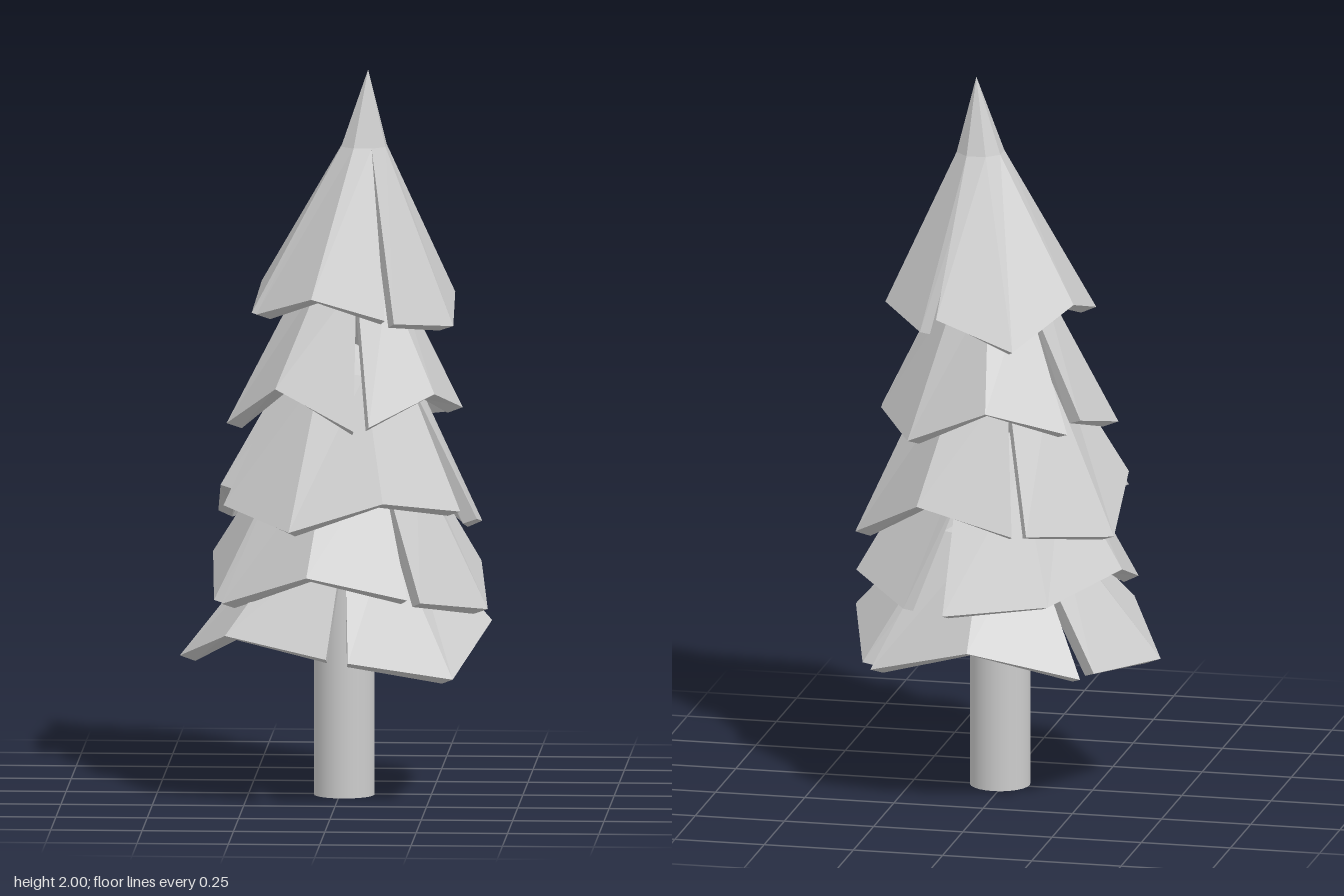
import * as THREE from 'three';

const THICK = 0.042; // thickness of the foliage
const FLARE = 0.2; // how much wider a rim corner gets as it droops

// Point at an angle in degrees (0 is the front, 90 is +x) round a centre
function polar(cx, degrees, y, radius) {
  const a = THREE.MathUtils.degToRad(degrees);
  return new THREE.Vector3(cx + radius * Math.sin(a), y, 0.005 + radius * Math.cos(a));
}

// Thick bent panel with evenly spaced rim corners; its ends meet the
// neighbouring panels at the shoulder, which leaves a V-shaped gap below
function panelGeometry(tier, panel, gapBefore, gapAfter) {
  const { cx, rimY, rimR, shoulderY, shoulderR, tipX, tipY } = tier;
  const last = panel.heights.length - 1;
  const shoulderX = THREE.MathUtils.mapLinear(shoulderY, rimY, tipY, cx, tipX);

  // Cross-sections: inner tip, shoulder and rim, then outer rim, shoulder and tip
  const columns = panel.heights.map((y, i) => {
    const angle = THREE.MathUtils.lerp(panel.from, panel.to, i / last);
    const reach = rimR - FLARE * (y - rimY);
    let top = angle;
    if (i === 0) top -= gapBefore / 2;
    if (i === last) top += gapAfter / 2;
    return [
      polar(tipX, 0, tipY - 0.08, 0),
      polar(shoulderX, top, shoulderY - 0.03, shoulderR - THICK),
      polar(cx, angle, y - 0.015, reach - THICK),
      polar(cx, angle, y, reach),
      polar(shoulderX, top, shoulderY, shoulderR),
      polar(tipX, 0, tipY, 0),
    ];
  });

  const positions = [];
  const quad = (a, b, c, d) => {
    for (const v of [a, b, c, a, c, d]) positions.push(v.x, v.y, v.z);
  };
  for (let i = 0; i < last; i++) {
    const l = columns[i];
    const r = columns[i + 1];
    for (let k = 0; k < 5; k++) quad(l[k], r[k], r[k + 1], l[k + 1]);
  }
  // Closed ends beside the gaps
  const s = columns[0];
  const e = columns[last];
  quad(s[2], s[3], s[4], s[1]);
  quad(s[1], s[4], s[5], s[0]);
  quad(e[1], e[4], e[3], e[2]);
  quad(e[0], e[5], e[4], e[1]);

  const geometry = new THREE.BufferGeometry();
  geometry.setAttribute('position', new THREE.Float32BufferAttribute(positions, 3));
  geometry.computeVertexNormals();
  return geometry;
}

// One tier of foliage: panels in order round the trunk
function createTier(name, material, tier, panels) {
  const group = new THREE.Group();
  group.name = name;
  const gapAfter = (i) => {
    const next = panels[(i + 1) % panels.length];
    return THREE.MathUtils.euclideanModulo(next.from - panels[i].to, 360);
  };
  panels.forEach((panel, i) => {
    const before = gapAfter((i + panels.length - 1) % panels.length);
    const mesh = new THREE.Mesh(panelGeometry(tier, panel, before, gapAfter(i)), material);
    mesh.name = 'foliagePanel';
    group.add(mesh);
  });
  return group;
}

export function createModel() {
  const model = new THREE.Group();
  model.name = 'pineTree';
  const grey = new THREE.MeshStandardMaterial({ color: 0xcccccc });
  grey.name = 'lightGrey';

  // Trunk
  const trunk = new THREE.Mesh(new THREE.CylinderGeometry(0.083, 0.083, 0.75, 24), grey);
  trunk.name = 'trunk';
  trunk.position.set(0.012, 0.375, 0.012);
  model.add(trunk);

  // Foliage, from the lowest tier up
  model.add(createTier('bottomTier', grey,
    { cx: 0, rimY: 0.42, rimR: 0.43, shoulderY: 0.74, shoulderR: 0.17, tipX: 0.02, tipY: 0.8 },
    [
      { from: 6, to: 130, heights: [0.42, 0.36, 0.485, 0.4] },
      { from: 136, to: 221.5, heights: [0.39, 0.48, 0.4] },
      { from: 227.5, to: 358, heights: [0.41, 0.38, 0.475, 0.43] },
    ]));
  model.add(createTier('secondTier', grey,
    { cx: 0.02, rimY: 0.59, rimR: 0.397, shoulderY: 0.94, shoulderR: 0.2, tipX: 0.02, tipY: 1 },
    [
      { from: -55, to: 27.5, heights: [0.555, 0.647, 0.585] },
      { from: 33, to: 153, heights: [0.575, 0.53, 0.626, 0.58] },
      { from: 171, to: 298.5, heights: [0.575, 0.6, 0.655, 0.56] },
    ]));
  model.add(createTier('middleTier', grey,
    { cx: 0.02, rimY: 0.8, rimR: 0.38, shoulderY: 1.18, shoulderR: 0.18, tipX: 0.02, tipY: 1.25 },
    [
      { from: -61, to: 58, heights: [0.82, 0.77, 0.85, 0.81] },
      { from: 70.5, to: 199, heights: [0.78, 0.735, 0.865, 0.8] },
      { from: 205, to: 292, heights: [0.8, 0.76, 0.87] },
    ]));
  model.add(createTier('fourthTier', grey,
    { cx: 0.015, rimY: 1.08, rimR: 0.318, shoulderY: 1.43, shoulderR: 0.13, tipX: 0.03, tipY: 1.5 },
    [
      { from: -122, to: 7, heights: [1.09, 1.03, 1.15, 1.045] },
      { from: 14.5, to: 96, heights: [1.055, 1.13, 1.065] },
      { from: 101, to: 228.5, heights: [1.065, 1.03, 1.13, 1.06] },
    ]));
  model.add(createTier('topTier', grey,
    { cx: 0.04, rimY: 1.35, rimR: 0.292, shoulderY: 1.79, shoulderR: 0.066, tipX: 0.077, tipY: 2 },
    [
      { from: -63, to: 19.5, heights: [1.34, 1.4, 1.345] },
      { from: 24.5, to: 152.5, heights: [1.335, 1.31, 1.375, 1.34] },
      { from: 162, to: 290, heights: [1.38, 1.3, 1.4, 1.34] },
    ]));
  return model;
}
